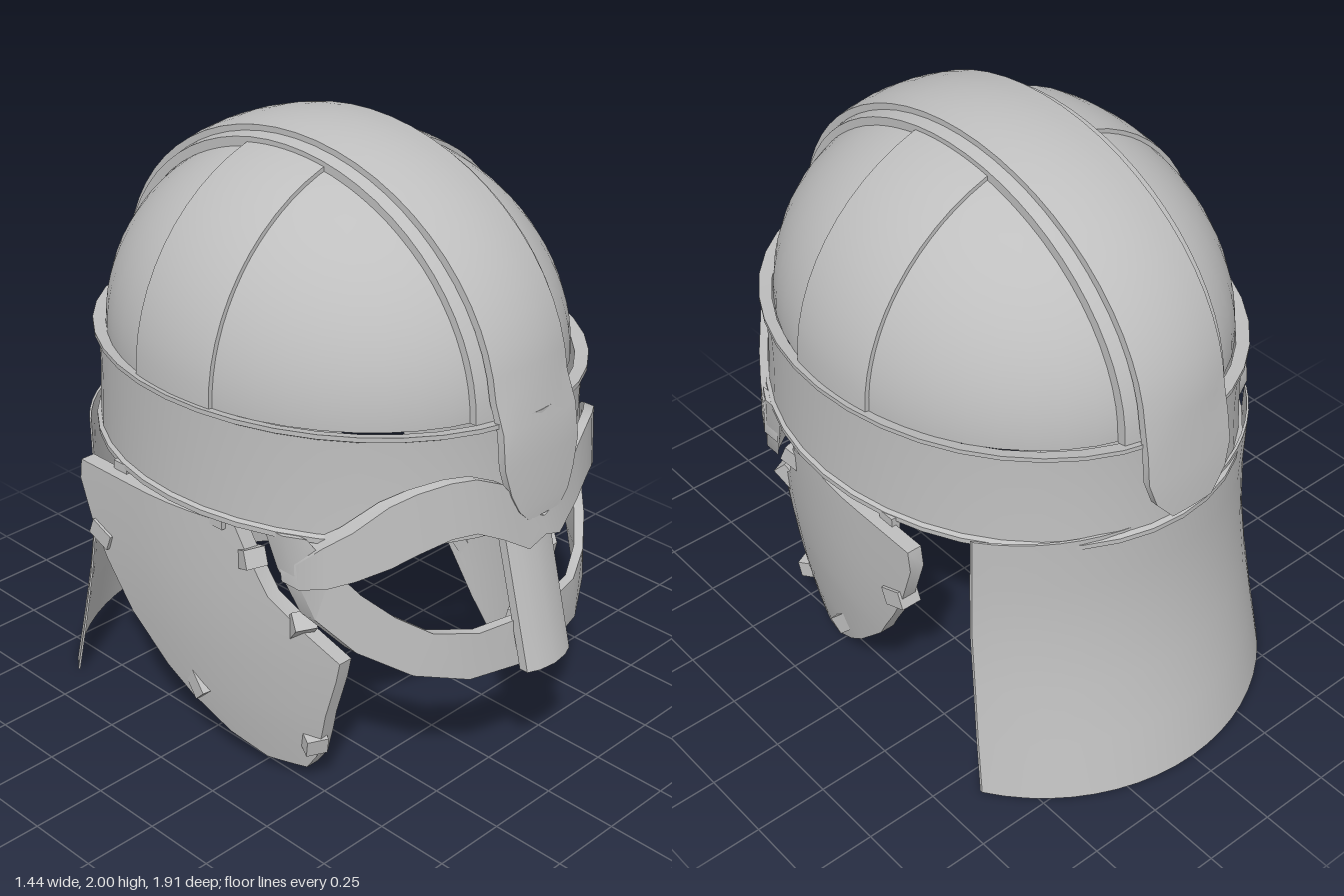
import * as THREE from 'three';
import { toCreasedNormals } from 'three/addons/utils/BufferGeometryUtils.js';

const steel = new THREE.MeshStandardMaterial({ color: 0xbfbfbf, side: THREE.DoubleSide });
steel.name = 'steel grey';

const range = (n) => Array.from({ length: n + 1 }, (_, i) => i / n);
const lerp = THREE.MathUtils.lerp;

// Closed plate between two matching grids of points (outer and inner skin)
function slab(outer, inner) {
  const rings = outer.map((row, i) => [...row, ...inner[i].slice().reverse()]);
  const n = rings[0].length, pos = [];
  const tri = (a, b, c) => pos.push(...a, ...b, ...c);
  const quad = (a, b, c, d) => { tri(a, b, c); tri(a, c, d); };
  for (let i = 0; i < rings.length - 1; i++)
    for (let j = 0; j < n; j++) {
      const k = (j + 1) % n;
      quad(rings[i][j], rings[i][k], rings[i + 1][k], rings[i + 1][j]);
    }
  const last = rings[rings.length - 1];
  for (let j = 0; j < n / 2 - 1; j++) {
    quad(rings[0][j], rings[0][n - 1 - j], rings[0][n - 2 - j], rings[0][j + 1]);
    quad(last[j], last[j + 1], last[n - 2 - j], last[n - 1 - j]);
  }
  // Turn the faces outward if the signed volume is negative
  let volume = 0;
  const a = new THREE.Vector3(), b = new THREE.Vector3(), c = new THREE.Vector3();
  for (let i = 0; i < pos.length; i += 9)
    volume += a.fromArray(pos, i).dot(b.fromArray(pos, i + 3).cross(c.fromArray(pos, i + 6)));
  if (volume < 0)
    for (let i = 0; i < pos.length; i += 9)
      for (let k = 0; k < 3; k++) [pos[i + 3 + k], pos[i + 6 + k]] = [pos[i + 6 + k], pos[i + 3 + k]];
  const g = new THREE.BufferGeometry();
  g.setAttribute('position', new THREE.Float32BufferAttribute(pos, 3));
  return toCreasedNormals(g, 0.6);
}

// Front of the face oval at a given x
const faceZ = (x, off) => 0.05 + (0.86 + off) * Math.sqrt(1 - (x / (0.71 + off)) ** 2);

// Cheek plate surface: curls inward toward the front and the bottom
const cheekX = (y, z) => 0.715 - 0.4 * Math.max(0, z + 0.1) ** 2 - 0.15 * Math.max(0, 0.85 - y) ** 2;

export function createModel() {
  const model = new THREE.Group();
  model.name = 'helmet';
  const add = (name, geometry) => {
    const mesh = new THREE.Mesh(geometry, steel);
    mesh.name = name;
    model.add(mesh);
    return mesh;
  };

  // Bowl
  const bowl = add('bowl', new THREE.SphereGeometry(1, 48, 20, 0, Math.PI * 2, 0, Math.PI / 2));
  bowl.scale.set(0.675, 0.655, 0.785);
  bowl.position.set(0, 1.3, 0.045);

  // Brow band with raised rims
  const bandProfile = [
    [0.672, 0.955], [0.712, 0.955], [0.712, 0.972], [0.7, 0.98], [0.693, 1.14],
    [0.694, 1.285], [0.71, 1.295], [0.71, 1.31], [0.672, 1.3], [0.672, 0.955],
  ].map((p) => new THREE.Vector2(...p));
  const band = add('browBand', toCreasedNormals(new THREE.LatheGeometry(bandProfile, 40), 0.5));
  band.scale.z = 1.19;
  band.position.z = 0.05;

  // Straps over the bowl from front to back
  const arcRow = (t, half, h, r) => range(6).map((u) => {
    const x = lerp(-half, half, u), s = Math.sqrt(1 - (x / 0.71) ** 2), a = t * Math.PI;
    return [x, 1.3 + h * s * Math.sin(a), 0.04 + r * s * Math.cos(a)];
  });
  const under = (h, r) => range(32).map((t) => arcRow(t, 0.2, h, r));
  add('underStrap', slab(under(0.682, 0.81), under(0.65, 0.778)));

  // Crest strap, with rounded tabs hanging over the band
  const tabRow = ([y, z, half], depth) => range(6).map((u) => {
    const x = lerp(-half, half, u);
    return [x, y, z - Math.sign(z) * (depth + 0.4 * x * x)];
  });
  const frontTab = [[0.98, 0.925, 0.07], [1.02, 0.925, 0.11], [1.08, 0.92, 0.14], [1.17, 0.915, 0.165], [1.28, 0.9, 0.162]];
  const backTab = [[1.28, -0.805, 0.162], [1.18, -0.82, 0.165], [1.1, -0.828, 0.14], [1.03, -0.832, 0.08]];
  const crest = (depth) => [
    ...frontTab.map((r) => tabRow(r, depth)),
    ...range(30).slice(1, -1).map((t) => arcRow(t, 0.16, 0.7 - depth, 0.84 - depth)),
    ...backTab.map((r) => tabRow(r, depth)),
  ];
  add('crestStrap', slab(crest(0), crest(0.025)));

  // Strap over the bowl from side to side
  const cross = (h, r) => range(30).map((t) => range(8).map((u) => {
    const z = lerp(-0.13, 0.2, u), s = Math.sqrt(1 - ((z - 0.045) / 0.8) ** 2);
    return [r * s * Math.cos(t * Math.PI), 1.3 + h * s * Math.sin(t * Math.PI), z];
  }));
  add('crossStrap', slab(cross(0.668, 0.688), cross(0.64, 0.66)));

  // Brow ridge of the eye guard: x, top, bottom
  const browHalf = [
    [0.07, 1.0, 0.885], [0.17, 1.13, 0.95], [0.25, 1.165, 0.99], [0.32, 1.165, 0.985], [0.4, 1.14, 0.945],
    [0.46, 1.1, 0.9], [0.53, 1.01, 0.85], [0.58, 0.95, 0.815], [0.62, 0.88, 0.8],
  ];
  const brow = [...browHalf.map(([x, t, b]) => [-x, t, b]).reverse(), [0, 0.97, 0.91], ...browHalf];
  const browSkin = (off) => brow.map(([x, t, b]) => [[x, t, faceZ(x, off)], [x, b, faceZ(x, off) + 0.01]]);
  add('browRidge', slab(browSkin(0.015), browSkin(-0.015)));

  // Nose guard, slanting forward, with a blunt ridge
  const nose = (depth) => range(4).map((t) => {
    const y = lerp(0.97, 0.48, t), z = lerp(0.87, 0.995, t) - depth;
    return [[-0.1, y, z - 0.025], [-0.06, y, z - 0.008], [0, y, z], [0.06, y, z - 0.008], [0.1, y, z - 0.025]];
  });
  add('noseGuard', slab(nose(0), nose(0.03)));

  // Lower eye rims: outer x, y, inner x, y
  const eyeRim = [
    [0.06, 0.475, 0.06, 0.64], [0.25, 0.48, 0.22, 0.635], [0.4, 0.52, 0.35, 0.66], [0.52, 0.6, 0.44, 0.725],
    [0.59, 0.7, 0.51, 0.8], [0.62, 0.84, 0.56, 0.88], [0.635, 0.97, 0.6, 0.97],
  ];
  // Cheek plates: y, front z, back z
  const cheek = [
    [0.94, 0.28, -0.37], [0.87, 0.31, -0.38], [0.72, 0.38, -0.33], [0.61, 0.49, -0.275], [0.52, 0.58, -0.22],
    [0.45, 0.565, -0.18], [0.3, 0.52, -0.04], [0.22, 0.5, 0.05], [0.12, 0.47, 0.18], [0.06, 0.43, 0.3],
  ];
  // Clips on the cheek plate edges: y, z, tilt
  const clips = [[0.83, 0.31, -0.4], [0.63, 0.46, -0.8], [0.18, 0.45, 0.2], [0.28, 0.08, 0.8], [0.7, -0.29, 0.4]];

  for (const [s, side] of [[1, 'left'], [-1, 'right']]) {
    const rim = (off) => eyeRim.map(([ox, oy, ix, iy]) =>
      [[s * ox, oy, faceZ(ox, off) + 0.005], [s * ix, iy, faceZ(ix, off)]]);
    add(side + 'EyeRim', slab(rim(0.01), rim(-0.02)));

    const plate = (depth) => cheek.map(([y, f, b]) => range(8).map((u) => {
      const z = lerp(f, b, u);
      return [s * (cheekX(y, z) - depth), y, z];
    }));
    add(side + 'CheekPlate', slab(plate(0), plate(0.05)));

    for (const [y, z, tilt] of clips) {
      const clip = add(side + 'CheekClip', new THREE.BoxGeometry(0.07, 0.06, 0.09));
      clip.position.set(s * (cheekX(y, z) - 0.025), y, z);
      clip.rotation.set(tilt, s * 0.8 * Math.max(0, z + 0.1), 0, 'YXZ');
    }
    for (const z of [0.22, -0.22]) {
      const hinge = add(side + 'CheekHinge', new THREE.BoxGeometry(0.03, 0.05, 0.06));
      hinge.position.set(s * 0.665, 0.945, z);
    }
  }

  // Flaring neck curtain: y, half width, side edge z, centre z
  const curtain = [[0.99, 0.575, -0.5, -0.775], [0.8, 0.575, -0.495, -0.77], [0.6, 0.58, -0.5, -0.785],
    [0.4, 0.59, -0.525, -0.815], [0.2, 0.605, -0.555, -0.865], [0, 0.62, -0.59, -0.915]];
  const curtainSkin = (depth) => curtain.map(([y, w, ze, zc]) => range(20).map((u) => {
    const a = (u * 2 - 1) * 0.97;
    const k = (Math.cos(a) - Math.cos(0.97)) / (1 - Math.cos(0.97));
    return [w * Math.sin(a) / Math.sin(0.97), y, lerp(ze, zc, k) + depth];
  }));
  add('neckCurtain', slab(curtainSkin(0), curtainSkin(0.01)));

  return model;
}
